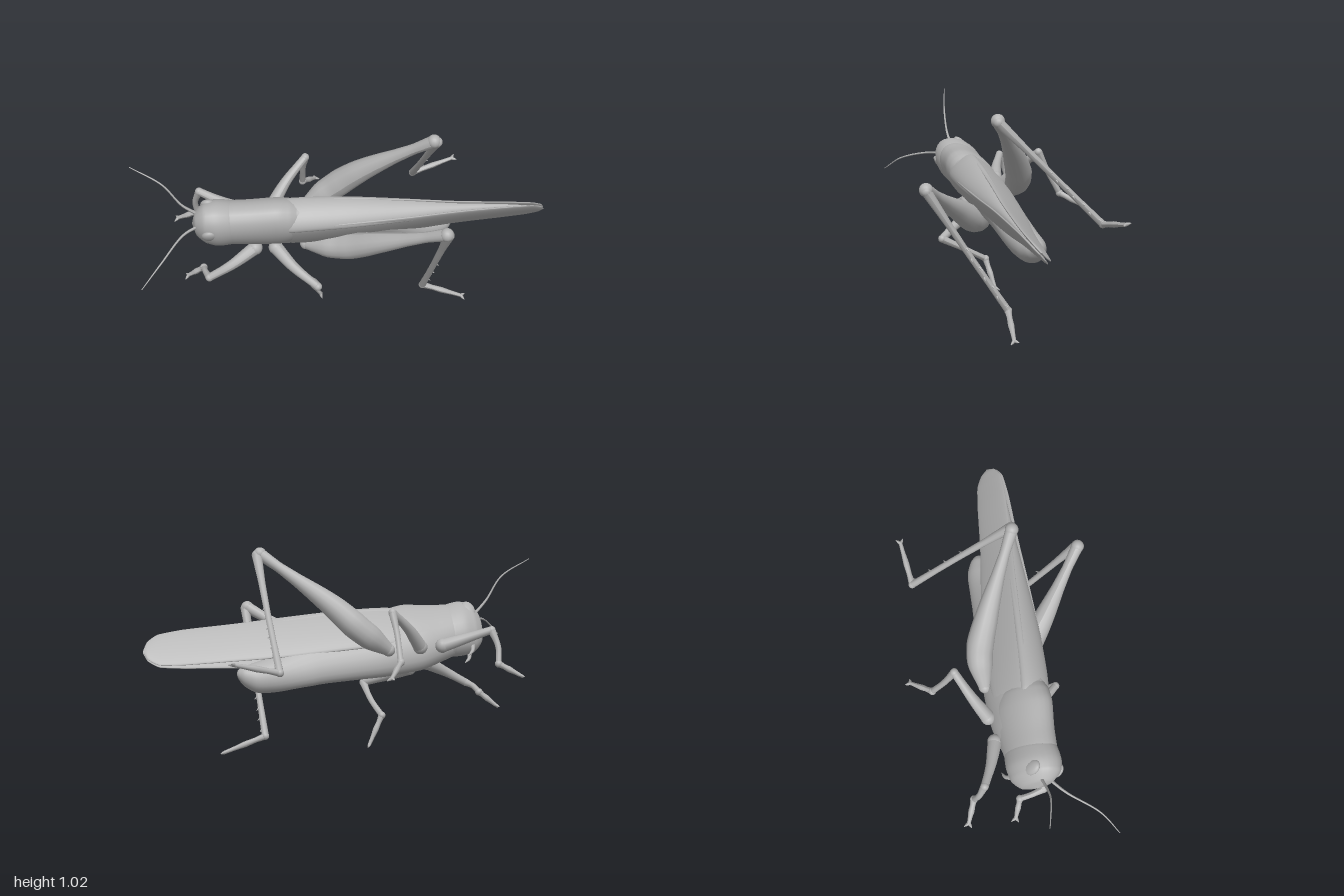
import * as THREE from 'three';

const V = (p) => new THREE.Vector3(...p);

export function createModel() {
  const model = new THREE.Group();
  model.name = 'grasshopper';
  const grey = new THREE.MeshStandardMaterial({ color: 0xb2b2b2 });
  grey.name = 'grey';

  function add(parent, name, geometry) {
    const mesh = new THREE.Mesh(geometry, grey);
    mesh.name = name;
    parent.add(mesh);
    return mesh;
  }

  // Smooth loft along x. Sections are [x, y, z, halfHeight, halfWidth];
  // lean slopes the section inwards towards its top.
  function loft(sections, side = 1, lean = 0, rows = 48, sides = 28) {
    const centre = new THREE.CatmullRomCurve3(sections.map((s) => V([s[0], s[1], s[2]])));
    const size = new THREE.CatmullRomCurve3(sections.map((s) => V([s[3], s[4], 0])));
    const pos = [], index = [];
    for (let i = 0; i <= rows; i++) {
      const c = centre.getPoint(i / rows), r = size.getPoint(i / rows);
      for (let j = 0; j < sides; j++) {
        const t = (j / sides) * Math.PI * 2;
        const mid = side * c.z * (1 - lean * Math.cos(t));
        pos.push(c.x, c.y + Math.max(r.x, 0.001) * Math.cos(t), mid + Math.max(r.y, 0.001) * Math.sin(t));
        if (i === rows) continue;
        const a = i * sides + j, b = i * sides + ((j + 1) % sides);
        index.push(a, b, a + sides, b, b + sides, a + sides);
      }
    }
    const g = new THREE.BufferGeometry();
    g.setAttribute('position', new THREE.Float32BufferAttribute(pos, 3));
    g.setIndex(index);
    g.computeVertexNormals();
    return g;
  }

  // Tube through points whose radius follows a list of values.
  function limb(points, radii, rows = 20, sides = 10) {
    const pts = points.map(V);
    const curve = pts.length > 2 ? new THREE.CatmullRomCurve3(pts) : new THREE.LineCurve3(...pts);
    const g = new THREE.TubeGeometry(curve, rows, 1, sides);
    const p = g.attributes.position, v = new THREE.Vector3();
    for (let i = 0; i <= rows; i++) {
      const c = curve.getPointAt(i / rows);
      const f = (i / rows) * (radii.length - 1), k = Math.min(Math.floor(f), radii.length - 2);
      const r = THREE.MathUtils.lerp(radii[k], radii[k + 1], f - k);
      for (let j = 0; j <= sides; j++) {
        const n = i * (sides + 1) + j;
        v.fromBufferAttribute(p, n).sub(c).multiplyScalar(r).add(c);
        p.setXYZ(n, v.x, v.y, v.z);
      }
    }
    g.computeVertexNormals();
    return g;
  }

  function ball(parent, name, p, r, scale = [1, 1, 1]) {
    const m = add(parent, name, new THREE.SphereGeometry(r, 16, 12));
    m.position.set(...p);
    m.scale.set(...scale);
  }

  // Body is rolled onto one side; local y is its back, local z its left
  const body = new THREE.Group();
  body.name = 'body';
  body.rotation.x = 0.733;
  body.position.set(0, 0.221, -0.244);
  model.add(body);

  add(body, 'trunk', loft([
    [-0.56, 0.49, 0, 0.13, 0.085], [-0.48, 0.48, 0, 0.155, 0.098], [-0.35, 0.46, 0, 0.185, 0.104],
    [-0.2, 0.435, 0, 0.185, 0.1], [0, 0.405, 0.005, 0.17, 0.088], [0.2, 0.37, 0.01, 0.155, 0.08],
    [0.38, 0.295, 0.024, 0.095, 0.075], [0.47, 0.275, 0.02, 0.075, 0.067], [0.53, 0.28, 0.01, 0.045, 0.045],
    [0.555, 0.285, 0.002, 0.018, 0.018], [0.56, 0.285, 0, 0.002, 0.002],
  ]));
  add(body, 'head', loft([
    [-0.722, 0.52, 0, 0.002, 0.002], [-0.705, 0.515, 0, 0.09, 0.055], [-0.66, 0.515, 0, 0.14, 0.095],
    [-0.6, 0.51, 0, 0.15, 0.11], [-0.54, 0.5, 0, 0.145, 0.104], [-0.5, 0.49, 0, 0.12, 0.09],
  ], 1, 0, 30));
  add(body, 'collar', loft([
    [-0.575, 0.5, 0, 0.125, 0.09], [-0.55, 0.5, 0, 0.145, 0.102], [-0.45, 0.485, 0, 0.16, 0.105],
    [-0.33, 0.478, 0, 0.175, 0.108], [-0.26, 0.485, 0, 0.155, 0.102], [-0.21, 0.49, 0, 0.125, 0.08],
  ], 1, 0, 30));
  // Broad flat back where the folded wings overlap
  add(body, 'wingOverlap', loft([
    [-0.36, 0.55, 0, 0.03, 0.05], [-0.25, 0.575, 0, 0.045, 0.085], [0, 0.575, 0, 0.04, 0.078],
    [0.3, 0.55, 0, 0.034, 0.056], [0.55, 0.525, 0, 0.03, 0.033], [0.8, 0.495, 0, 0.03, 0.018],
    [0.95, 0.46, 0, 0.02, 0.008],
  ]));
  for (const s of [1, -1]) {
    const side = s > 0 ? 'left' : 'right';
    add(body, side + 'Wing', loft([
      [-0.36, 0.5, 0.07, 0.04, 0.01], [-0.25, 0.485, 0.078, 0.11, 0.022], [0, 0.475, 0.07, 0.125, 0.02],
      [0.3, 0.458, 0.05, 0.122, 0.016], [0.55, 0.45, 0.028, 0.112, 0.013], [0.8, 0.44, 0.014, 0.104, 0.011],
      [0.92, 0.433, 0.008, 0.09, 0.009], [0.975, 0.43, 0.006, 0.05, 0.007], [0.995, 0.428, 0.005, 0.003, 0.002],
    ], s, 0.12));
    ball(body, side + 'Eye', [-0.64, 0.57, s * 0.076], 0.04, [0.95, 1.3, 0.55]);
    add(body, side + 'Palp', limb([[-0.64, 0.39, s * 0.03], [-0.63, 0.35, s * 0.035], [-0.6, 0.32, s * 0.03]],
      [0.014, 0.01, 0.008, 0.001], 10, 7));
  }
  ball(body, 'jaw', [-0.63, 0.405, 0], 0.055, [0.8, 0.7, 1]);

  // Antennae
  add(model, 'rightAntenna', limb([[-0.69, 0.67, 0.12], [-0.76, 0.74, 0.138], [-0.84, 0.86, 0.14],
    [-0.98, 0.95, 0.115]], [0.008, 0.005, 0.004, 0.002], 24, 6));
  add(model, 'leftAntenna', limb([[-0.69, 0.63, 0.16], [-0.76, 0.632, 0.23], [-0.86, 0.59, 0.38],
    [-0.95, 0.515, 0.465]], [0.008, 0.005, 0.004, 0.002], 24, 6));

  // Legs: thigh, shin and foot paths with a radius list for each
  const thin = { thigh: [0.034, 0.03, 0.025, 0.021, 0.019], shin: [0.02, 0.015, 0.014, 0.015], knee: 0.02 };
  const strong = { thigh: [0.03, 0.062, 0.066, 0.058, 0.046, 0.033, 0.025, 0.03],
    shin: [0.025, 0.017, 0.015, 0.015, 0.018], knee: 0.032 };
  const legs = [
    ['leftHind', strong, [[-0.18, 0.41, 0.05], [0, 0.44, 0.13], [0.17, 0.54, 0.25], [0.44, 0.7, 0.43]],
      [[0.45, 0.695, 0.43], [0.43, 0.4, 0.245], [0.41, 0.1, 0.05]], [0.61, 0.025, 0.065]],
    ['rightHind', strong, [[-0.18, 0.53, -0.09], [-0.04, 0.63, -0.1], [0.1, 0.755, -0.05], [0.42, 0.995, 0.1]],
      [[0.435, 0.99, 0.1], [0.425, 0.74, -0.15], [0.41, 0.49, -0.4]], [0.62, 0.54, -0.44]],
    ['leftMiddle', thin, [[-0.33, 0.41, 0.07], [-0.25, 0.36, 0.17], [-0.14, 0.31, 0.27]],
      [[-0.14, 0.31, 0.27], [-0.15, 0.24, 0.14], [-0.18, 0.18, 0.04]], [-0.11, 0.045, 0.005]],
    ['rightMiddle', thin, [[-0.34, 0.54, -0.09], [-0.26, 0.64, -0.16], [-0.16, 0.73, -0.23]],
      [[-0.16, 0.73, -0.23], [-0.17, 0.63, -0.28], [-0.17, 0.51, -0.345]], [-0.1, 0.455, -0.45]],
    ['leftFront', thin, [[-0.43, 0.43, 0.09], [-0.55, 0.37, 0.14], [-0.66, 0.31, 0.15]],
      [[-0.66, 0.31, 0.15], [-0.68, 0.3, 0.09], [-0.69, 0.28, 0.03]], [-0.77, 0.215, 0.002]],
    ['rightFront', thin, [[-0.46, 0.54, -0.07], [-0.58, 0.58, -0.1], [-0.69, 0.62, -0.14]],
      [[-0.69, 0.62, -0.14], [-0.715, 0.54, -0.17], [-0.71, 0.46, -0.195]], [-0.81, 0.405, -0.23]],
  ];
  for (const [name, type, thigh, shin, toe] of legs) {
    const leg = new THREE.Group();
    leg.name = name + 'Leg';
    model.add(leg);
    const ankle = shin[2];
    add(leg, 'thigh', limb(thigh, type.thigh, 32, 14));
    ball(leg, 'hip', thigh[0], type.thigh[0] * 1.05);
    ball(leg, 'knee', thigh[thigh.length - 1], type.knee);
    ball(leg, 'shinJoint', shin[0], type.shin[0]);
    add(leg, 'shin', limb(shin, type.shin));
    ball(leg, 'ankle', ankle, 0.019);
    add(leg, 'foot', limb([ankle, toe], [0.017, 0.013, 0.015, 0.011, 0.009], 12, 8));

    // Pair of spread claws at the toe
    const dir = V(toe).sub(V(ankle)).normalize();
    const across = new THREE.Vector3().crossVectors(dir, new THREE.Vector3(0, 1, 0.3)).normalize();
    for (const s of [1, -1]) {
      const tip = V(toe).addScaledVector(dir, 0.022).addScaledVector(across, s * 0.02);
      add(leg, 'claw', limb([toe, tip.toArray()], [0.009, 0.007, 0.001], 4, 6));
    }

    // Spines down the back of the jumping shins
    if (type !== strong) continue;
    const path = new THREE.LineCurve3(V(shin[0]), V(ankle));
    const down = path.getTangent(0);
    for (let i = 0; i < 7; i++) {
      const p = path.getPoint(0.45 + i * 0.08);
      const tip = p.clone().addScaledVector(down, 0.025);
      tip.x += 0.026;
      tip.z += (i % 2 ? 1 : -1) * 0.01;
      add(leg, 'spine', limb([p.toArray(), tip.toArray()], [0.009, 0.001], 3, 6));
    }
  }
  return model;
}
